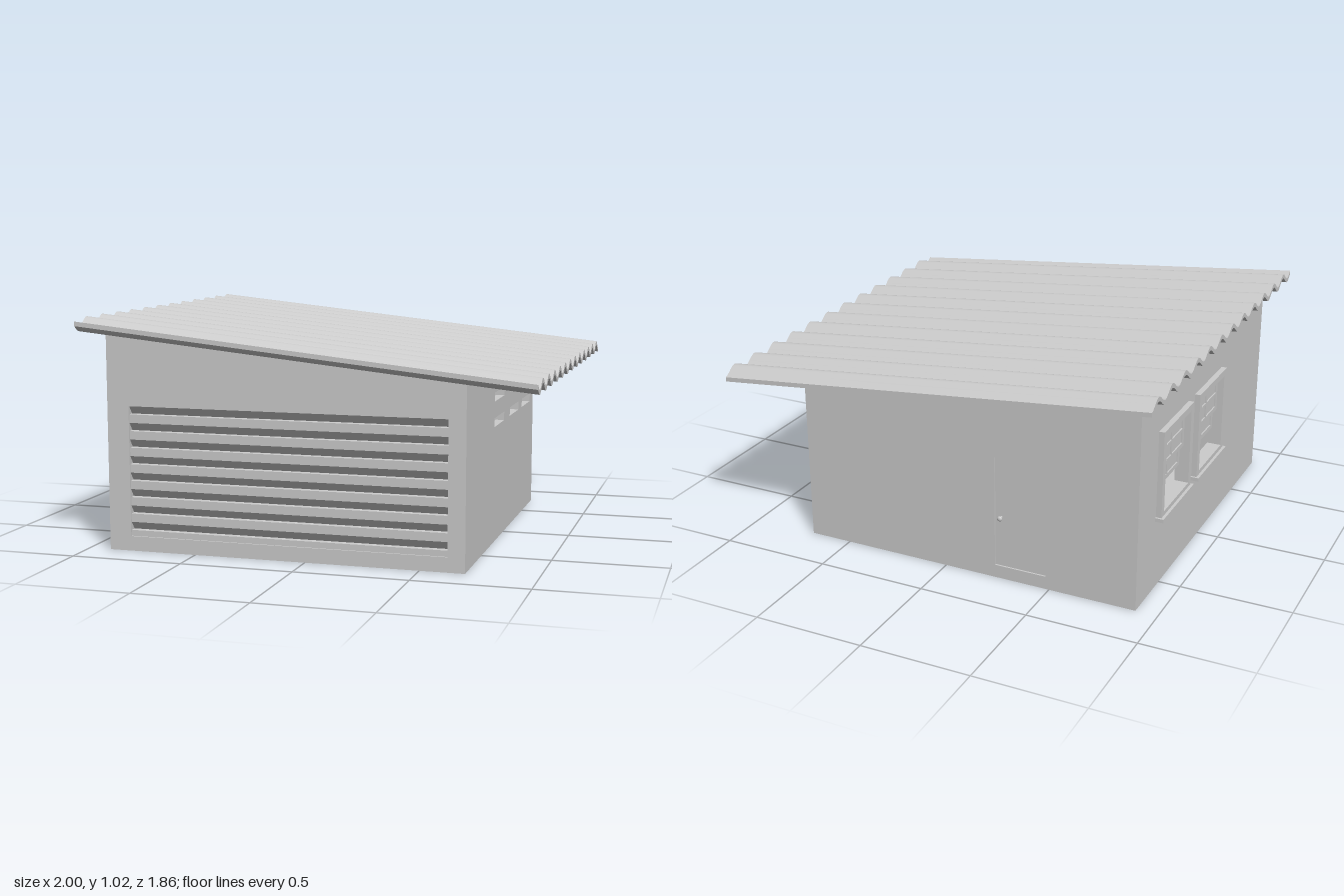
import * as THREE from 'three';
import { toCreasedNormals } from 'three/addons/utils/BufferGeometryUtils.js';

const X0 = -0.9, X1 = 0.695, Z0 = -0.77, Z1 = 0.835; // outer faces of the walls
const T = 0.04;                                      // wall thickness
const SLOPE = -0.1025;                               // roof fall along x
const wallTop = x => 0.875 + SLOPE * x;
const material = new THREE.MeshStandardMaterial({ color: 0xcccccc });

function mesh(name, geometry, x = 0, y = 0, z = 0) {
  const m = new THREE.Mesh(geometry, material);
  m.name = name;
  m.position.set(x, y, z);
  return m;
}

// Box given by its two extreme corners
function block(name, x0, x1, y0, y1, z0, z1) {
  return mesh(name, new THREE.BoxGeometry(x1 - x0, y1 - y0, z1 - z0),
    (x0 + x1) / 2, (y0 + y1) / 2, (z0 + z1) / 2);
}

const points = list => list.map(([x, y]) => new THREE.Vector2(x, y));
const rect = (a, b, c, d) => points([[a, c], [b, c], [b, d], [a, d]]);

// Flat panel with rectangular holes
function panel(outline, holes, depth) {
  const shape = new THREE.Shape(outline);
  shape.holes = holes.map(h => new THREE.Path(rect(...h).reverse()));
  return new THREE.ExtrudeGeometry(shape, { depth, bevelEnabled: false });
}

// Turns a (z, y) profile so that its extrusion runs towards -x
const alongX = geometry => geometry.rotateY(-Math.PI / 2);

// Corrugated sheet: a wavy strip extruded along x, then sheared to the fall
function makeRoof() {
  const period = 0.1518, n = 156, top = [], bottom = [];
  for (let i = 0; i <= n; i++) {
    const z = -0.93 + 1.86 * i / n;
    const y = 0.9025 + 0.02 * Math.cos((z + 0.86) / period * Math.PI * 2);
    top.push([z, y]);
    bottom.push([z, y - 0.02]);
  }
  const g = alongX(panel(points([...bottom, ...top.reverse()]), [], 2)).translate(1, 0, 0);
  const p = g.attributes.position;
  for (let i = 0; i < p.count; i++) p.setY(i, p.getY(i) + SLOPE * p.getX(i));
  return mesh('corrugatedRoof', toCreasedNormals(g, 0.7));
}

// Sash window with a raised lower sash, set in the left wall
function makeWindow(zc) {
  const g = new THREE.Group();
  g.name = 'window';
  const a = zc - 0.15, b = zc + 0.15;
  const casing = alongX(panel(rect(zc - 0.18, zc + 0.18, 0.34, 0.74), [[a, b, 0.365, 0.71]], 0.03));
  g.add(mesh('windowCasing', casing, X0 + 0.005, 0, 0));
  g.add(block('windowSill', X0 - 0.038, X0 + 0.01, 0.328, 0.345, zc - 0.19, zc + 0.19));
  for (const [x, y0, y1] of [[X0 + 0.005, 0.54, 0.71], [X0 + 0.022, 0.445, 0.615]]) {
    const ym = (y0 + y1) / 2;
    const holes = [];
    for (const [z0, z1] of [[a + 0.02, zc - 0.005], [zc + 0.005, b - 0.02]])
      for (const [h0, h1] of [[y0 + 0.02, ym - 0.005], [ym + 0.005, y1 - 0.02]])
        holes.push([z0, z1, h0, h1]);
    g.add(mesh('windowSash', alongX(panel(rect(a, b, y0, y1), holes, 0.015)), x + 0.015, 0, 0));
    g.add(block('windowPane', x + 0.006, x + 0.009, y0 + 0.01, y1 - 0.01, a + 0.01, b - 0.01));
  }
  return g;
}

// Garage shutter: zigzag slats facing up and down in turn
function makeShutter() {
  const y0 = 0.065, y1 = 0.64, count = 8, pitch = 0.0731, zOut = Z1 - 0.008, zIn = Z1 - 0.035;
  const outline = [[Z1 - 0.06, y1], [zIn, y1]];
  for (let i = 0; i < count; i++) {
    const y = y1 - i * pitch;
    outline.push([zIn, y - 0.001], [zIn + 0.004, y - 0.035], [zOut, y - 0.037]);
    outline[outline.length - 3] = [zOut, y - 0.001];
    outline[outline.length - 2] = [zIn, y - 0.036];
  }
  outline.push([zOut, y0 - 0.01], [Z1 - 0.06, y0 - 0.01]);
  const g = alongX(panel(points(outline.reverse()), [], 1.42));
  return mesh('garageShutter', g, 0.62, 0, 0);
}

export function createModel() {
  const model = new THREE.Group();
  const gable = points([[X0, 0], [X1, 0], [X1, wallTop(X1)], [X0, wallTop(X0)]]);

  // Front wall with the garage opening, back wall with the doorway
  model.add(mesh('frontWall', panel(gable, [[-0.8, 0.62, 0.065, 0.64]], T), 0, 0, Z1 - T));
  model.add(mesh('backWall', panel(gable, [[-0.485, -0.242, 0.06, 0.575]], T), 0, 0, Z0));

  // Right wall with two rows of vents
  const vents = [];
  for (const [z0, z1] of [[0.01, 0.24], [-0.36, -0.13], [-0.68, -0.45]])
    for (const y of [0.525, 0.64]) vents.push([z0, z1, y, y + 0.04]);
  const side = h => rect(Z0 + T, Z1 - T, 0, h);
  model.add(mesh('rightWall', alongX(panel(side(wallTop(X1)), vents, T)), X1, 0, 0));

  // Left wall with two windows
  const centres = [-0.385, 0.055];
  const openings = centres.map(c => [c - 0.15, c + 0.15, 0.365, 0.71]);
  model.add(mesh('leftWall', alongX(panel(side(wallTop(X0)), openings, T)), X0 + T, 0, 0));
  centres.forEach(c => model.add(makeWindow(c)));

  model.add(block('floor', X0 + 0.01, X1 - 0.01, 0, 0.03, Z0 + 0.01, Z1 - 0.01));
  model.add(makeShutter());
  model.add(makeRoof());

  // Back door, slightly recessed, with a knob
  model.add(block('backDoor', -0.485, -0.242, 0.06, 0.575, Z0 + 0.008, Z0 + 0.035));
  const knob = new THREE.Group();
  knob.name = 'doorKnob';
  const stem = new THREE.CylinderGeometry(0.006, 0.006, 0.02, 12).rotateX(Math.PI / 2);
  knob.add(mesh('knobStem', stem, -0.27, 0.295, Z0));
  const ball = new THREE.SphereGeometry(0.012, 16, 10).scale(1, 1, 0.6);
  knob.add(mesh('knobBall', ball, -0.27, 0.295, Z0 - 0.009));
  model.add(knob);

  return model;
}
